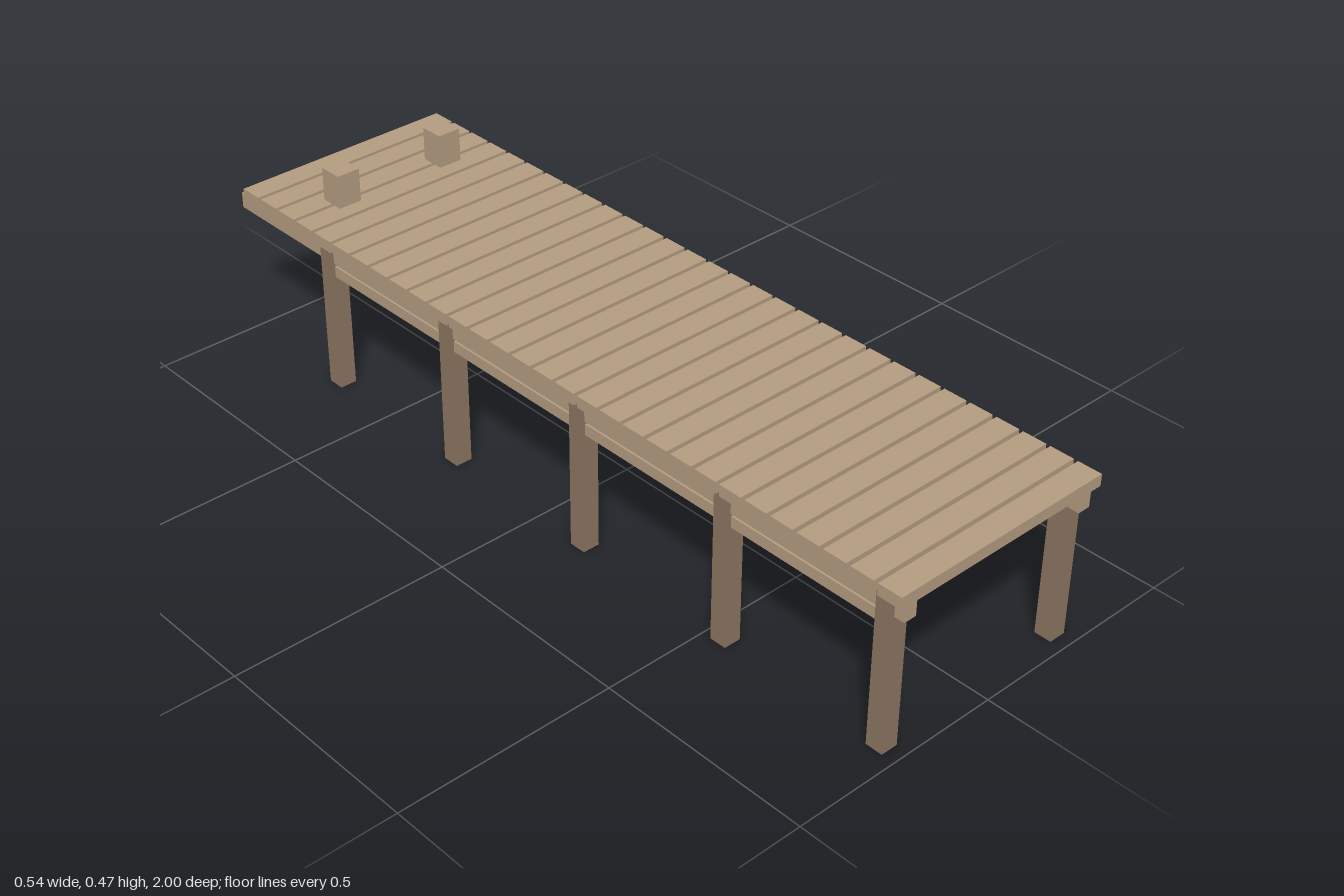
import * as THREE from 'three';

export function createModel() {
  const pier = new THREE.Group();
  pier.name = 'pier';

  const lightWood = new THREE.MeshStandardMaterial({ color: 0xb39b80 });
  lightWood.name = 'light wood';
  const darkWood = new THREE.MeshStandardMaterial({ color: 0x8a7460 });
  darkWood.name = 'dark wood';

  // Box given by its centre in x and z, and its bottom and top in y
  function beam(name, material, width, depth, bottom, top, x, z) {
    const mesh = new THREE.Mesh(new THREE.BoxGeometry(width, top - bottom, depth), material);
    mesh.position.set(x, (bottom + top) / 2, z);
    mesh.name = name;
    pier.add(mesh);
  }

  // Deck of 30 cross planks
  const pitch = 0.0657;
  for (let i = 0; i < 30; i++) {
    beam('deckPlank', lightWood, 0.544, 0.056, 0.359, 0.386, 0, 0.972 - i * pitch);
  }

  for (const side of [-1, 1]) {
    // Five posts along each edge
    for (let i = 0; i < 5; i++) {
      beam('post', darkWood, 0.04, 0.04, 0, 0.359, side * 0.238, 0.95 - i * 0.4075);
    }
    // Long bearer under the planks, and the lower rail between end posts
    beam('bearer', lightWood, 0.03, 1.994, 0.317, 0.354, side * 0.238, -0.003);
    beam('lowerRail', lightWood, 0.026, 1.63, 0.284, 0.31, side * 0.238, 0.135);
    // Mooring block on the deck
    beam('mooringBlock', lightWood, 0.057, 0.057, 0.386, 0.465, side * 0.14, -0.773);
  }

  return pier;
}
